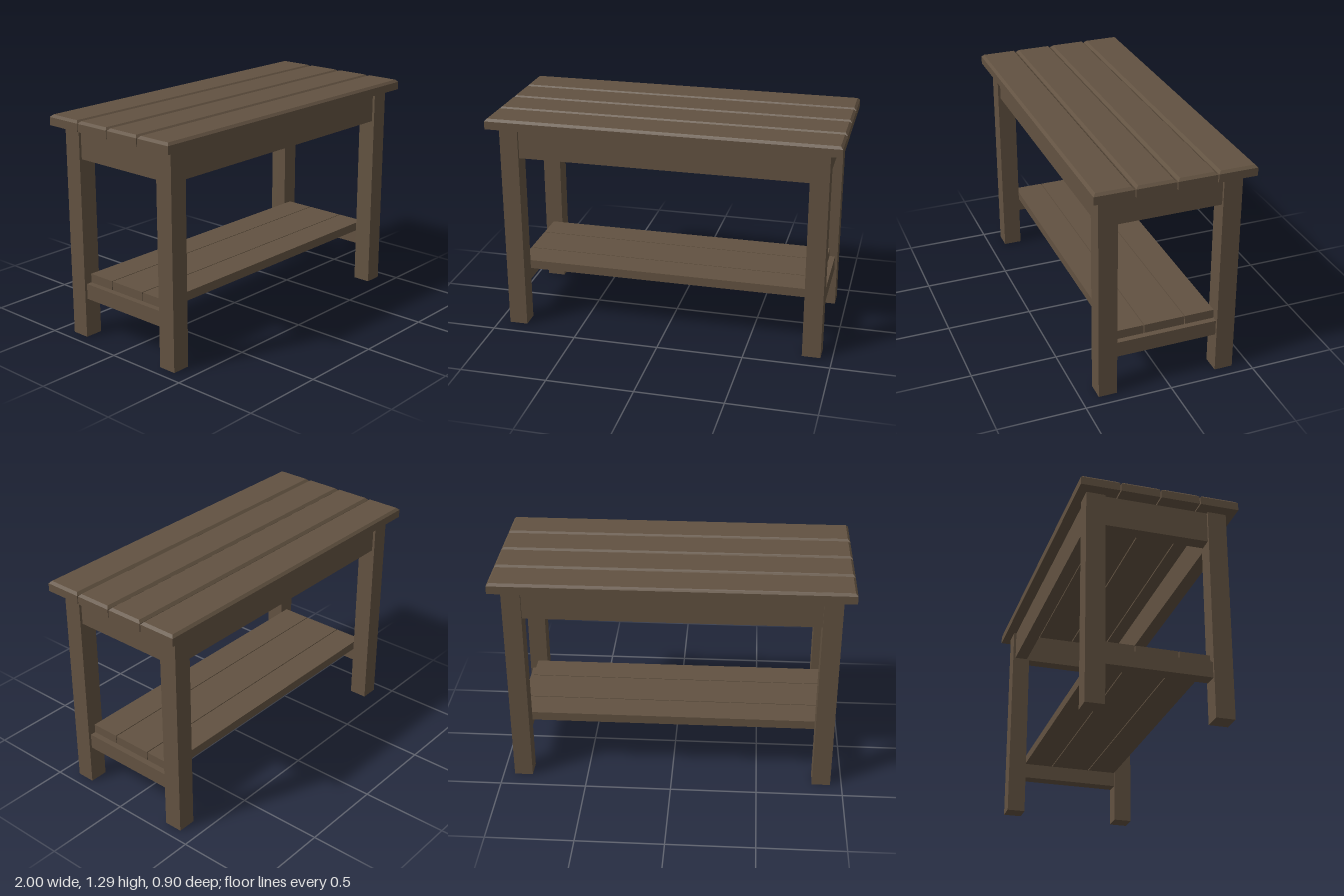
import * as THREE from 'three';

const wood = new THREE.MeshStandardMaterial({ color: 0x625241 });
wood.name = 'brown wood';

// Box given by its limits on each axis
function board(name, [x0, x1], [y0, y1], [z0, z1]) {
  const mesh = new THREE.Mesh(new THREE.BoxGeometry(x1 - x0, y1 - y0, z1 - z0), wood);
  mesh.position.set((x0 + x1) / 2, (y0 + y1) / 2, (z0 + z1) / 2);
  mesh.name = name;
  return mesh;
}

// Plank with all four upper edges chamfered
function chamferedPlank(length, height, width, chamfer) {
  const box = new THREE.BoxGeometry(length, height, width, 1, 2, 1);
  const p = box.attributes.position;
  for (let i = 0; i < p.count; i++) {
    const y = p.getY(i);
    if (y > 0.001) {
      p.setX(i, p.getX(i) - Math.sign(p.getX(i)) * chamfer);
      p.setZ(i, p.getZ(i) - Math.sign(p.getZ(i)) * chamfer);
    } else if (y > -0.001) {
      p.setY(i, height / 2 - chamfer);
    }
  }
  const geometry = box.toNonIndexed();
  geometry.computeVertexNormals();
  return geometry;
}

export function createModel() {
  const table = new THREE.Group();
  table.name = 'slattedTable';

  // Tabletop: four chamfered planks with narrow gaps
  const top = new THREE.Group();
  top.name = 'tabletop';
  const plank = chamferedPlank(2, 0.06, 0.221, 0.014);
  for (let i = 0; i < 4; i++) {
    const mesh = new THREE.Mesh(plank, wood);
    mesh.name = 'topPlank';
    mesh.position.set(0, 1.26, (i - 1.5) * 0.2268);
    top.add(mesh);
  }
  table.add(top);

  // Shelf: three planks, the middle one wider
  const shelf = new THREE.Group();
  shelf.name = 'shelf';
  for (const z of [[-0.295, -0.123], [-0.118, 0.118], [0.123, 0.295]]) {
    shelf.add(board('shelfPlank', [-0.885, 0.885], [0.32, 0.372], z));
  }
  table.add(shelf);

  // Legs, aprons and shelf rails, mirrored by sign
  const span = (s, a, b) => (s > 0 ? [a, b] : [-b, -a]);
  for (const s of [-1, 1]) {
    for (const t of [-1, 1]) {
      table.add(board('leg', span(s, 0.827, 0.934), [0, 1.23], span(t, 0.295, 0.402)));
    }
    table.add(board('longApron', [-0.827, 0.827], [1.05, 1.23], span(s, 0.31, 0.387)));
    table.add(board('endApron', span(s, 0.842, 0.919), [1.05, 1.23], [-0.295, 0.295]));
    table.add(board('shelfRail', span(s, 0.842, 0.919), [0.23, 0.32], [-0.295, 0.295]));
  }
  return table;
}
